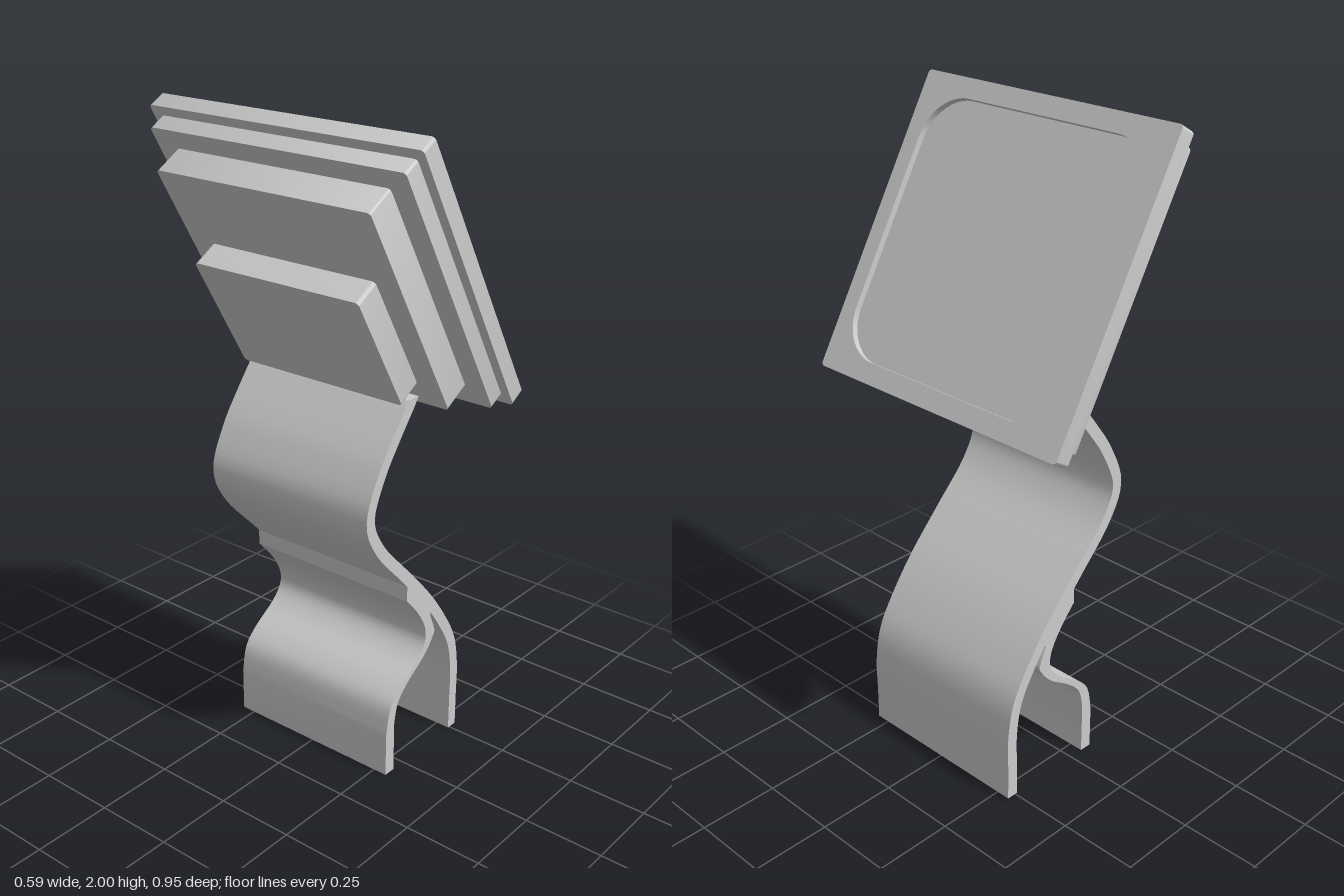
import * as THREE from 'three';
import { toCreasedNormals } from 'three/addons/utils/BufferGeometryUtils.js';

const material = new THREE.MeshStandardMaterial({ color: 0xcccccc });
const points = (list) => list.map(([x, y]) => new THREE.Vector2(x, y));

function extrude(name, shape, depth, z, curveSegments = 6) {
  const geometry = new THREE.ExtrudeGeometry(shape, { depth, bevelEnabled: false, curveSegments });
  geometry.translate(0, 0, z);
  const mesh = new THREE.Mesh(toCreasedNormals(geometry, 0.5), material);
  mesh.name = name;
  return mesh;
}

// Rounded rectangle, half width w, spanning s0..s1 down the slope
function roundedRect(path, w, s0, s1, r) {
  const top = -s0, bottom = -s1;
  path.moveTo(-w + r, bottom);
  path.lineTo(w - r, bottom);
  path.absarc(w - r, bottom + r, r, -Math.PI / 2, 0);
  path.lineTo(w, top - r);
  path.absarc(w - r, top - r, r, 0, Math.PI / 2);
  path.lineTo(-w + r, top);
  path.absarc(-w + r, top - r, r, Math.PI / 2, Math.PI);
  path.lineTo(-w, bottom + r);
  path.absarc(-w + r, bottom + r, r, Math.PI, Math.PI * 1.5);
  return path;
}

// Ribbon outline of constant thickness around a centre line
function ribbonShape(list, thickness, samples) {
  const curve = new THREE.SplineCurve(points(list));
  const left = [], right = [];
  for (let i = 0; i <= samples; i++) {
    const p = curve.getPoint(i / samples), t = curve.getTangent(i / samples);
    const n = new THREE.Vector2(-t.y, t.x).multiplyScalar(thickness / 2);
    left.push(p.clone().add(n));
    right.push(p.clone().sub(n));
  }
  // Level cut at the top end
  left[samples].set(-0.005, 1.215);
  right[samples].set(0.035, 1.215);
  return new THREE.Shape([...right, ...left.reverse()]);
}

export function createModel() {
  const model = new THREE.Group();
  model.name = 'stand';

  // Tilted head: local z is the face normal, local -y runs down the slope
  const head = new THREE.Group();
  head.name = 'tiltedHead';
  head.position.set(-0.172, 2, 0);
  head.rotation.set(0, Math.PI / 2, Math.PI / 6, 'ZYX');
  model.add(head);

  // Front frame around a shallow rounded recess
  const frame = roundedRect(new THREE.Shape(), 0.475, 0, 0.93, 0.012);
  frame.holes.push(roundedRect(new THREE.Path(), 0.42, 0.06, 0.868, 0.14));
  head.add(extrude('frontFrame', frame, 0.02, -0.02, 10));

  // Stepped plates: name, half width, slope start and end, depth start and end
  for (const [name, w, s0, s1, t0, t1] of [
    ['recessPlate', 0.475, 0, 0.93, 0.02, 0.053],
    ['middlePlate', 0.445, 0.032, 0.898, 0.053, 0.106],
    ['rearPlate', 0.375, 0.095, 0.83, 0.106, 0.2],
    ['mountBlock', 0.295, 0.35, 0.75, 0.2, 0.283],
  ]) {
    head.add(extrude(name, roundedRect(new THREE.Shape(), w, s0, s1, 0.012), t1 - t0, -t1));
  }

  // Main S-curved support
  const support = ribbonShape([
    [0.262, 0], [0.262, 0.11], [0.262, 0.22], [0.242, 0.325], [0.19, 0.42], [0.105, 0.535],
    [-0.01, 0.66], [-0.13, 0.79], [-0.177, 0.9], [-0.13, 1.02], [-0.06, 1.12], [0.013, 1.212],
  ], 0.037, 55);
  model.add(extrude('curvedSupport', support, 0.59, -0.295));

  // Second leg branching off the support
  const leg = new THREE.Shape();
  leg.moveTo(-0.048, 0);
  leg.lineTo(-0.048, 0.17);
  leg.splineThru(points([[-0.03, 0.235], [0.02, 0.285], [0.1, 0.34], [0.145, 0.395], [0.145, 0.42], [0.125, 0.467]]));
  leg.lineTo(0.13, 0.5);
  leg.lineTo(0.012, 0.635);
  leg.lineTo(0.003, 0.635);
  leg.lineTo(0.003, 0.57);
  leg.splineThru(points([[0.06, 0.505], [0.098, 0.44], [0.1, 0.385], [0.06, 0.335], [-0.02, 0.28], [-0.07, 0.225], [-0.088, 0.14]]));
  leg.lineTo(-0.088, 0);
  leg.closePath();
  model.add(extrude('branchLeg', leg, 0.59, -0.295, 4));

  return model;
}
